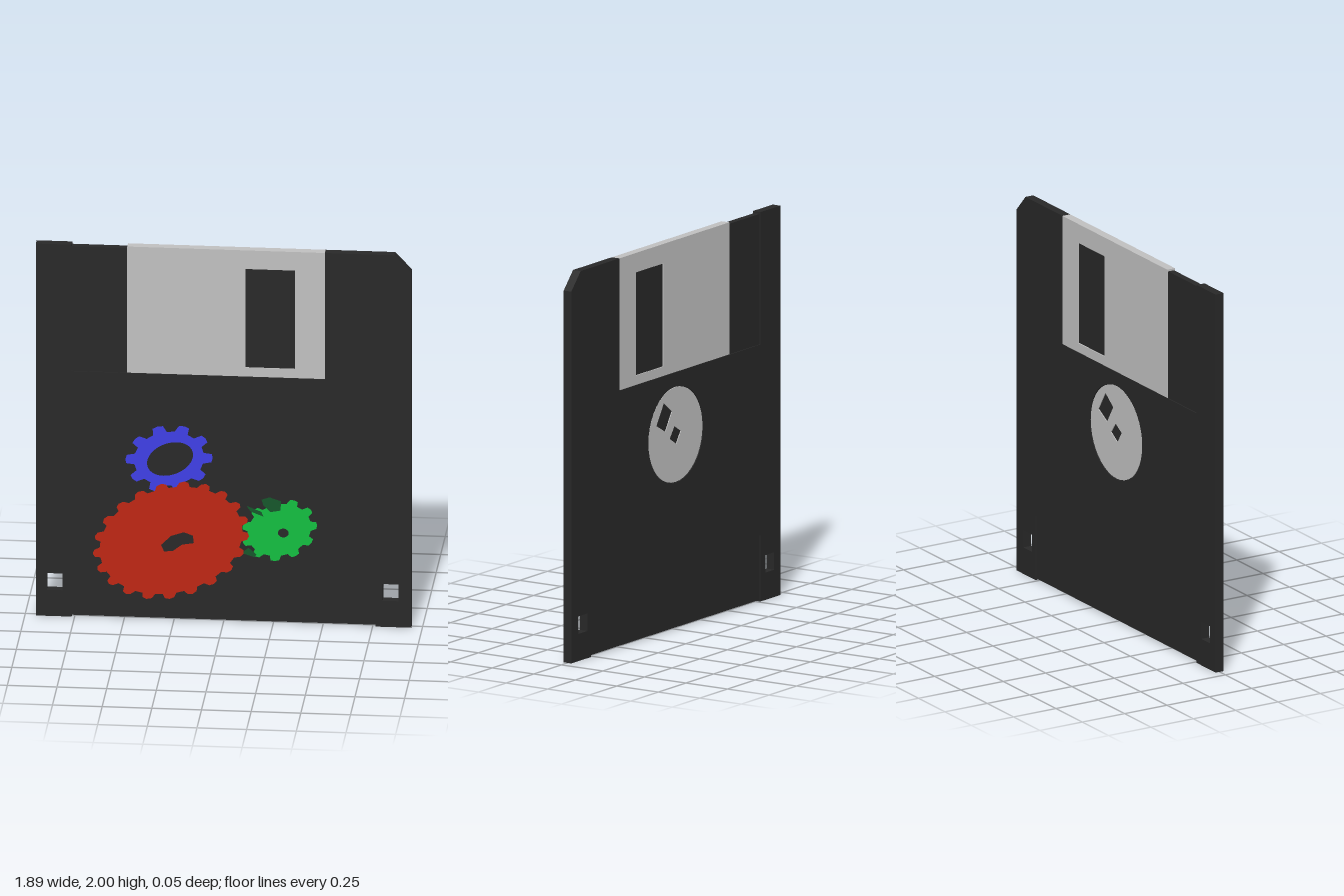
import * as THREE from 'three';

const CORE = 0.017; // half depth of the core, also the floor of every recess
const SKIN = 0.006; // depth of the raised front and back faces

const mat = (name, color, side = THREE.FrontSide) => {
  const m = new THREE.MeshStandardMaterial({ color, side });
  m.name = name;
  return m;
};
const poly = (pts) => new THREE.Shape(pts.map(([x, y]) => new THREE.Vector2(x, y)));
const rect = (x0, y0, x1, y1) => poly([[x0, y0], [x1, y0], [x1, y1], [x0, y1]]);

function ellipse(cx, cy, [a, b, d], n = 40) {
  return poly(Array.from({ length: n }, (_, i) => {
    const t = (i / n) * Math.PI * 2, c = Math.cos(t), s = Math.sin(t);
    return [cx + a * c + b * s, cy + b * c + d * s];
  }));
}

// Gear outline stretched by the symmetric matrix [a b; b d]
function gearShape(cx, cy, [a, b, d], teeth, root, phase = 0) {
  const pts = [];
  for (let i = 0; i < teeth; i++) {
    for (const [f, r] of [[-0.32, root], [-0.2, 0.98], [0, 1], [0.2, 0.98], [0.32, root]]) {
      const t = ((i + f) / teeth) * Math.PI * 2 + phase;
      const c = r * Math.cos(t), s = r * Math.sin(t);
      pts.push([cx + a * c + b * s, cy + b * c + d * s]);
    }
  }
  return poly(pts);
}

export function createModel() {
  const group = new THREE.Group();
  const black = mat('blackPlastic', 0x282828);
  const metal = mat('greyMetal', 0xc0c0c0);
  const red = mat('red', 0xbe2612, THREE.DoubleSide);
  const blue = mat('blue', 0x3f3fe6, THREE.DoubleSide);
  const green = mat('green', 0x12be40, THREE.DoubleSide);
  const darkGreen = mat('darkGreen', 0x14562a, THREE.DoubleSide);

  const add = (name, geometry, material) => {
    const mesh = new THREE.Mesh(geometry, material);
    mesh.name = name;
    group.add(mesh);
  };
  const slab = (name, shape, z0, z1, material, holes = []) => {
    shape.holes.push(...holes);
    const g = new THREE.ExtrudeGeometry(shape, { depth: z1 - z0, bevelEnabled: false });
    add(name, g.translate(0, 0, z0), material);
  };
  const decal = (name, shape, lift, material, holes = []) => {
    shape.holes.push(...holes);
    add(name, new THREE.ShapeGeometry(shape).translate(0, 0, CORE + lift), material);
  };
  const notches = () => [rect(-0.89, 0.14, -0.81, 0.23), rect(0.8, 0.14, 0.88, 0.23)];

  // Core, stepped in slightly under the label and shutter
  slab('core', poly([
    [-0.945, 0], [-0.765, 0], [-0.765, 0.008], [0.765, 0.008], [0.765, 0], [0.945, 0],
    [0.945, 1.91], [0.86, 2], [0.51, 2], [0.51, 1.99], [-0.765, 1.99], [-0.765, 2], [-0.945, 2],
  ]), -CORE, CORE, black, notches());

  // Raised faces leave recesses for the label and shutter
  const face = (labelTop) => poly([
    [-0.945, 0], [-0.765, 0], [-0.765, labelTop], [0.765, labelTop], [0.765, 0], [0.945, 0],
    [0.945, 1.91], [0.86, 2], [0.51, 2], [0.51, 1.32], [-0.765, 1.32], [-0.765, 2], [-0.945, 2],
  ]);
  slab('frontFace', face(1.185), CORE, CORE + SKIN, black, notches());
  slab('backFace', face(0.34), -CORE - SKIN, -CORE, black,
    [...notches(), ellipse(0, 1, [0.248, 0, 0.248])]);

  // Shutter: two windowed plates joined over the top edge
  for (const [name, z] of [['shutterFront', CORE], ['shutterBack', -CORE - SKIN]]) {
    slab(name, rect(-0.485, 1.322, 0.51, 2), z, z + SKIN, metal, [rect(0.11, 1.37, 0.36, 1.9)]);
  }
  slab('shutterTop', rect(-0.485, 1.99, 0.51, 2), -CORE, CORE, metal);

  // Hub with centre and drive holes
  slab('hub', ellipse(0, 1, [0.244, 0, 0.244]), -CORE - 0.004, -CORE, metal, [
    poly([[0.052, 0.987], [0.009, 1.045], [-0.05, 1.01], [-0.008, 0.95]]),
    poly([[0.172, 1.075], [0.105, 1.18], [0.031, 1.124], [0.09, 1.03]]),
  ]);

  // Printed gears
  decal('blueGear', gearShape(-0.275, 0.865, [0.22, 0.01, 0.182], 10, 0.8), 0.001, blue,
    [ellipse(-0.27, 0.863, [0.115, 0.015, 0.09])]);
  decal('greenGear', gearShape(0.28, 0.5, [0.19, 0.015, 0.167], 11, 0.84, 0.1), 0.001, green,
    [ellipse(0.3, 0.485, [0.027, 0, 0.024], 16)]);
  decal('redGear', gearShape(-0.265, 0.425, [0.393, 0.037, 0.318], 21, 0.91), 0.002, red, [
    poly([[-0.315, 0.4], [-0.3, 0.365], [-0.255, 0.37], [-0.21, 0.405], [-0.15, 0.415],
      [-0.155, 0.455], [-0.2, 0.472], [-0.265, 0.45]]),
  ]);
  const shades = [
    [[0.19, 0.66], [0.23, 0.675], [0.29, 0.655], [0.285, 0.605], [0.235, 0.595], [0.2, 0.63]],
    [[0.115, 0.625], [0.19, 0.595], [0.2, 0.57], [0.135, 0.595]],
    [[0.09, 0.37], [0.125, 0.4], [0.165, 0.365], [0.155, 0.35]],
  ];
  for (const pts of shades) decal('greenGearShade', poly(pts), 0.0015, darkGreen);

  return group;
}
